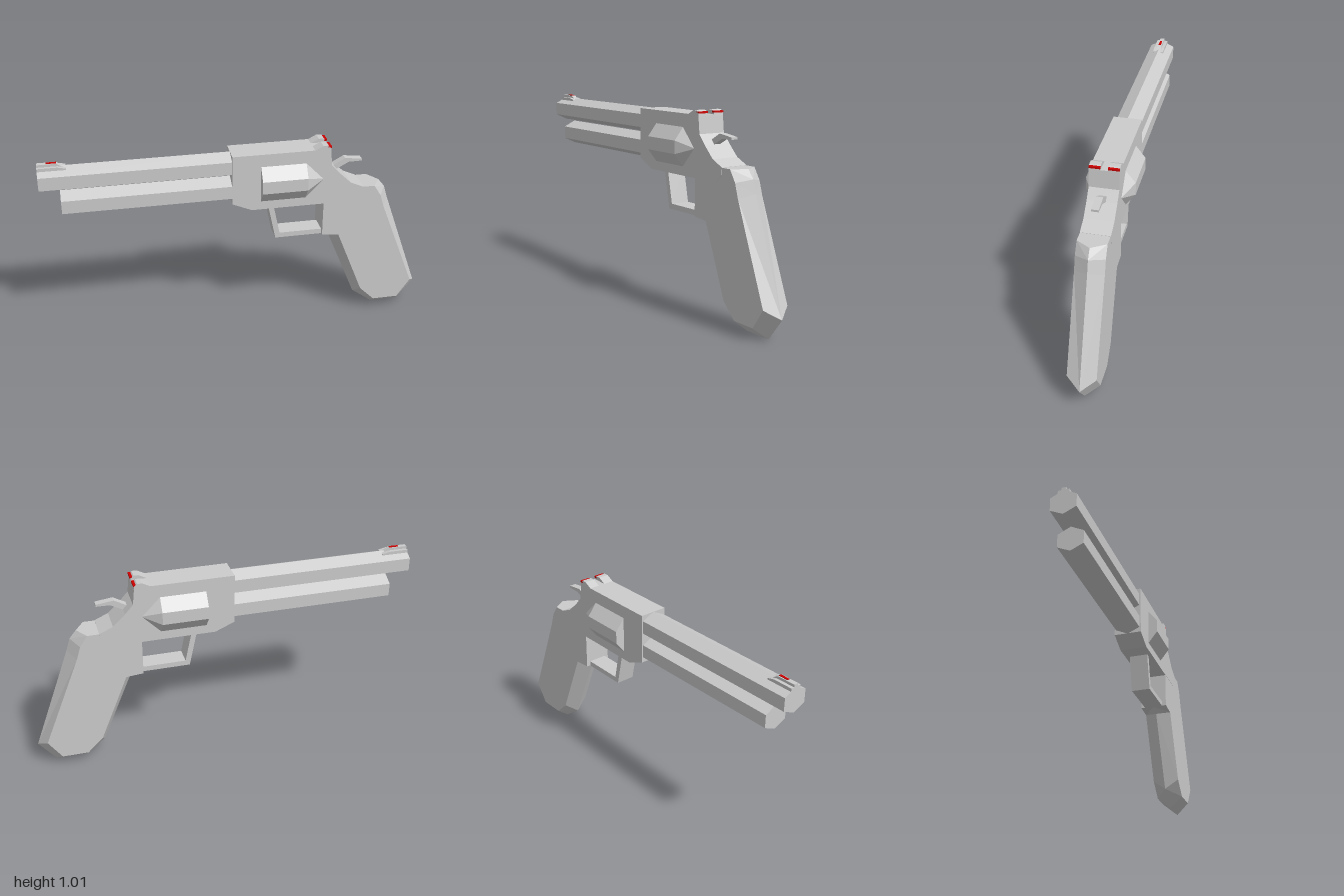
import * as THREE from 'three';
import { ConvexGeometry } from 'three/addons/geometries/ConvexGeometry.js';

const grey = new THREE.MeshStandardMaterial({ color: 0xcccccc, flatShading: true });
const red = new THREE.MeshStandardMaterial({ color: 0xcc0000, flatShading: true });

const shapeOf = (pts) => new THREE.Shape(pts.map(([x, y]) => new THREE.Vector2(x, y)));
const extrude = (pts, depth) => new THREE.ExtrudeGeometry(shapeOf(pts), { depth, bevelEnabled: false });

export function createModel() {
  const model = new THREE.Group();
  model.name = 'revolver';

  const add = (name, geometry, material = grey) => {
    const mesh = new THREE.Mesh(geometry, material);
    mesh.name = name;
    model.add(mesh);
    return mesh;
  };
  // Side profile extruded between two z positions
  const plate = (name, pts, z0, z1) => add(name, extrude(pts, z1 - z0).translate(0, 0, z0));
  const box = (name, [x0, x1], [y0, y1], [z0, z1], material) =>
    add(name, new THREE.BoxGeometry(x1 - x0, y1 - y0, z1 - z0)
      .translate((x0 + x1) / 2, (y0 + y1) / 2, (z0 + z1) / 2), material);

  // Barrel and the lug beneath it: hexagonal bars with a ridge on top
  const hex = [[0, 0.065], [-0.065, 0.033], [-0.065, -0.035], [0, -0.065], [0.065, -0.035], [0.065, 0.033]];
  const bar = (name, x0, x1, y) =>
    add(name, extrude(hex, x1 - x0).rotateY(Math.PI / 2).translate(x0, y, 0));
  bar('barrel', -1, -0.04, 0.932);
  bar('underLug', -0.9, -0.04, 0.798);

  // Frame
  plate('frame', [
    [-0.05, 0.997], [-0.05, 0.735], [0.05, 0.692], [0.6, 0.692], [0.64, 0.735], [0.64, 0.769],
    [0.57, 0.8], [0.507, 0.86], [0.465, 0.907], [0.455, 0.997],
  ], -0.073, 0.073);

  // Cylinder: a faceted bulge on each side, tapering to a point at the rear
  for (const s of [1, -1]) {
    const pts = [new THREE.Vector3(0.427, 0.834, s * 0.07)];
    for (const x of [0.096, 0.33]) {
      for (const [y, z] of [[0.934, 0.07], [0.867, 0.122], [0.801, 0.122], [0.734, 0.07]]) {
        pts.push(new THREE.Vector3(x, y, s * z));
      }
    }
    add(s > 0 ? 'cylinderLeft' : 'cylinderRight', new ConvexGeometry(pts));
  }

  // Trigger guard
  plate('triggerGuard', [
    [0.14, 0.7], [0.182, 0.503], [0.44, 0.503], [0.44, 0.53], [0.204, 0.53], [0.168, 0.7],
  ], -0.05, 0.05);

  // Grip: flat cheeks bevelled out to a central ridge
  add('grip', gripGeometry());

  // Hammer
  plate('hammer', [
    [0.45, 0.85], [0.51, 0.86], [0.57, 0.892], [0.64, 0.893], [0.64, 0.904],
    [0.55, 0.915], [0.49, 0.882], [0.45, 0.88],
  ], -0.018, 0.018);

  // Rear sight: two ears with red bars and a notch between them
  const ear = [[0.36, 0.99], [0.457, 0.99], [0.455, 1.005], [0.44, 1.018], [0.415, 1.018]];
  for (const [side, z0, z1] of [['Left', 0.018, 0.073], ['Right', -0.073, -0.018]]) {
    plate('rearSight' + side, ear, z0, z1);
    box('rearSightBar' + side, [0.44, 0.459], [1.004, 1.013], [z0, z1], red);
  }

  // Front sight: low ramp, narrow blade and red insert
  plate('frontSightBase', [
    [-1, 0.975], [-0.86, 0.975], [-0.86, 0.99], [-0.9, 0.999], [-1, 0.999],
  ], -0.029, 0.029);
  plate('frontSightBlade', [
    [-1, 0.99], [-0.87, 0.99], [-0.905, 1.012], [-1, 1.012],
  ], -0.012, 0.012);
  box('frontSightInsert', [-0.955, -0.905], [1.0, 1.015], [-0.006, 0.006], red);

  return model;
}

function gripGeometry() {
  const half = 0.072;
  // Matching outlines: cheek edge and central ridge
  const cheek = [
    [0.43, 0.73], [0.43, 0.505], [0.52, 0.497], [0.665, 0.14], [0.745, 0.062], [0.88, 0.062],
    [0.95, 0.163], [0.76, 0.64], [0.738, 0.71], [0.7, 0.768], [0.6, 0.768],
  ];
  const ridge = [
    [0.43, 0.73], [0.43, 0.503], [0.48, 0.48], [0.645, 0.085], [0.755, 0.004], [0.908, 0.004],
    [0.997, 0.117], [0.8, 0.66], [0.78, 0.725], [0.745, 0.768], [0.6, 0.768],
  ];
  const n = cheek.length;
  const pos = [];
  const tri = (a, b, c) => {
    pos.push(...a, ...b, ...c);
    // Mirrored copy with the winding reversed
    for (const [x, y, z] of [a, c, b]) pos.push(x, y, -z);
  };
  const inner = (i) => [...cheek[i % n], half];
  const outer = (i) => [...ridge[i % n], 0];

  for (const [a, b, c] of THREE.ShapeUtils.triangulateShape(cheek.map(([x, y]) => new THREE.Vector2(x, y)), [])) {
    tri(inner(a), inner(b), inner(c));
  }
  for (let i = 0; i < n; i++) {
    tri(outer(i), outer(i + 1), inner(i + 1));
    tri(outer(i), inner(i + 1), inner(i));
  }
  const geometry = new THREE.BufferGeometry();
  geometry.setAttribute('position', new THREE.Float32BufferAttribute(pos, 3));
  geometry.computeVertexNormals();
  return geometry;
}
